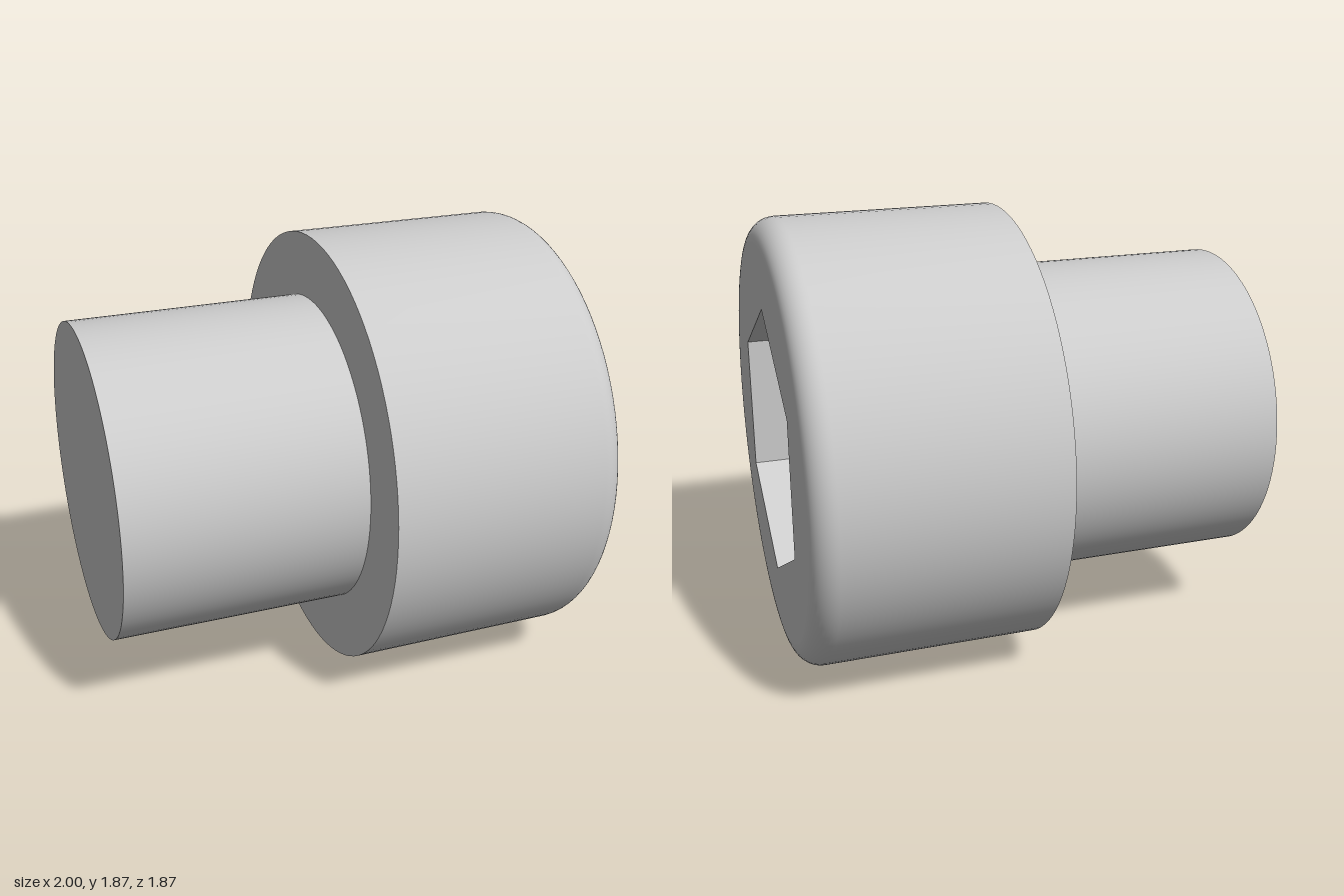
import * as THREE from 'three';
import { toCreasedNormals } from 'three/addons/utils/BufferGeometryUtils.js';

const HEAD_R = 0.933, SHANK_R = 0.665, FILLET = 0.1;
const HEX_R = 0.58, HEX_START = Math.PI / 2 - 0.017, SOCKET_FLOOR = 0.4;
const SIDES = 96;
const v = (x, y) => new THREE.Vector2(x, y);

export function createModel() {
  const smooth = new THREE.MeshStandardMaterial({ color: 0xcccccc });
  const flat = new THREE.MeshStandardMaterial({ color: 0xcccccc, flatShading: true });

  // Built upright along y, then laid down so the head points to +x
  const screw = new THREE.Group();
  screw.name = 'socketScrew';
  const add = (name, geometry, material) => {
    const mesh = new THREE.Mesh(geometry, material);
    mesh.name = name;
    screw.add(mesh);
  };
  const turned = (points) => toCreasedNormals(new THREE.LatheGeometry(points, SIDES), 0.6);

  // Plain shank with a flat end
  add('shank', turned([v(0, -1), v(SHANK_R, -1), v(SHANK_R, 0)]), smooth);

  // Head: flat underside, straight wall, rounded outer rim
  const headProfile = [v(SHANK_R, 0), v(HEAD_R, 0)];
  for (let i = 0; i <= 10; i++) {
    const a = (i / 10) * Math.PI / 2;
    headProfile.push(v(HEAD_R - FILLET + FILLET * Math.cos(a), 1 - FILLET + FILLET * Math.sin(a)));
  }
  add('head', turned(headProfile), smooth);

  // Flat head face with the hexagonal opening
  const face = new THREE.Shape().absarc(0, 0, HEAD_R - FILLET, 0, Math.PI * 2);
  const hexagon = [];
  for (let i = 0; i < 6; i++) {
    const a = HEX_START + i * Math.PI / 3;
    hexagon.push(v(HEX_R * Math.sin(a), -HEX_R * Math.cos(a)));
  }
  face.holes.push(new THREE.Path(hexagon));
  add('headFace', new THREE.ShapeGeometry(face, SIDES).rotateX(-Math.PI / 2).translate(0, 1, 0), smooth);

  // Socket walls and floor, facing inwards
  const socketProfile = [v(HEX_R, 1), v(HEX_R, SOCKET_FLOOR), v(0, SOCKET_FLOOR)];
  add('hexSocket', new THREE.LatheGeometry(socketProfile, 6, HEX_START), flat);

  screw.rotation.z = -Math.PI / 2;
  screw.position.y = HEAD_R;

  const model = new THREE.Group();
  model.name = 'model';
  model.add(screw);
  return model;
}
